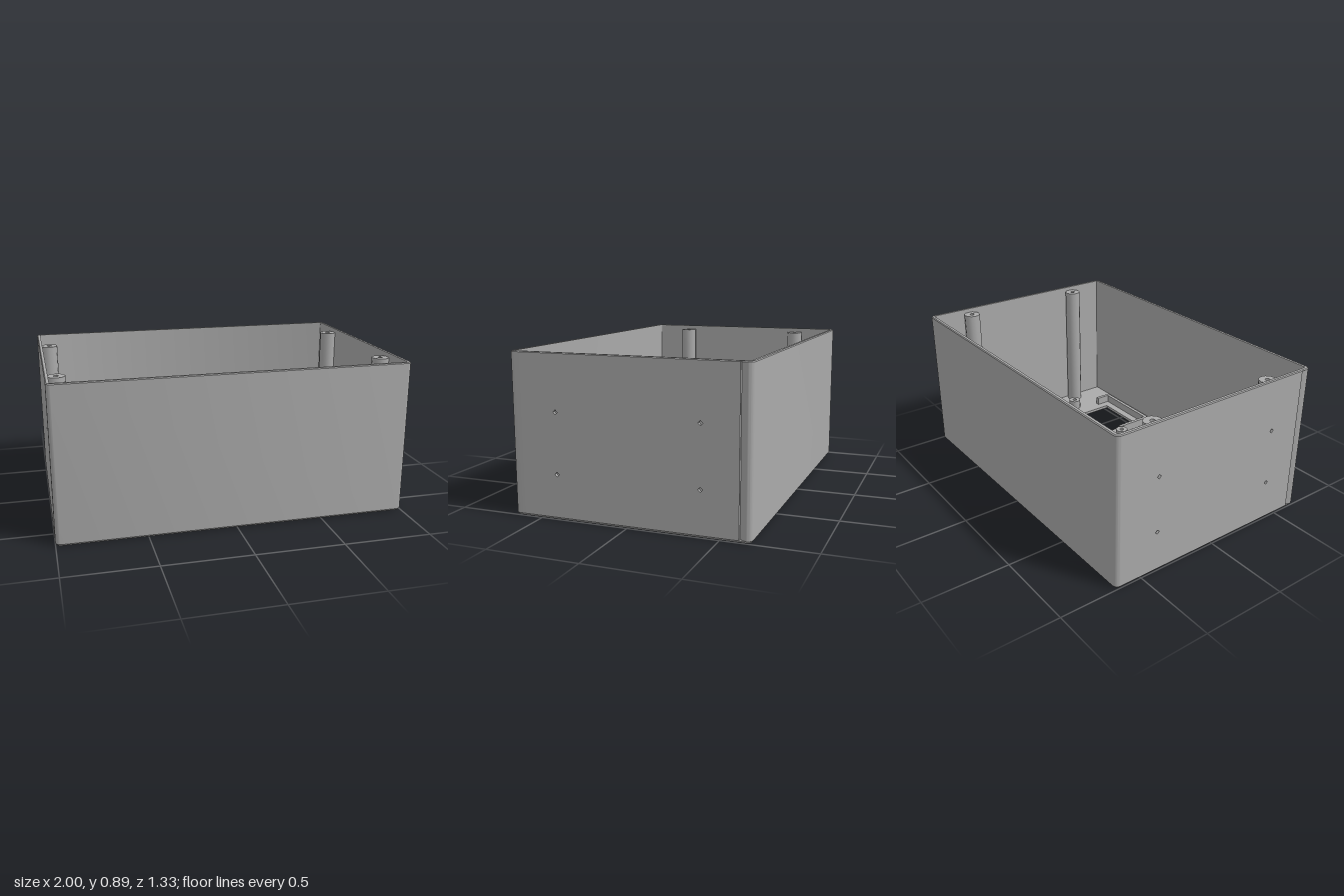
import * as THREE from 'three';
import { toCreasedNormals } from 'three/addons/utils/BufferGeometryUtils.js';

const W = 1, D = 0.665, R = 0.03, T = 0.02;          // half width, half depth, corner radius, wall
const H = 0.89, CHAMFER = 0.012, FLOOR = 0.03, RIM = 0.885;

// Plan shapes are drawn in (x, -z)
function roundedRect(w, d, r) {
  const s = new THREE.Shape();
  s.absarc(w - r, d - r, r, 0, Math.PI / 2);
  s.absarc(-w + r, d - r, r, Math.PI / 2, Math.PI);
  s.absarc(-w + r, -d + r, r, Math.PI, Math.PI * 1.5);
  s.absarc(w - r, -d + r, r, Math.PI * 1.5, Math.PI * 2);
  s.closePath();
  return s;
}
const polygon = (pts) => new THREE.Shape(pts.map(([x, z]) => new THREE.Vector2(x, -z)));
const rect = (x0, x1, z0, z1) => polygon([[x0, z0], [x0, z1], [x1, z1], [x1, z0]]);
const circle = (x, z, r) => new THREE.Shape().absarc(x, -z, r, 0, Math.PI * 2);

// Upright extrusion of a plan shape, with an optional rule that moves its vertices
function slab(shape, y0, y1, rule) {
  const g = new THREE.ExtrudeGeometry(shape, { depth: y1 - y0, bevelEnabled: false, curveSegments: 6 });
  g.rotateX(-Math.PI / 2).translate(0, y0, 0);
  if (rule) {
    const p = g.attributes.position, v = new THREE.Vector3();
    for (let i = 0; i < p.count; i++) {
      rule(v.fromBufferAttribute(p, i));
      p.setXYZ(i, v.x, v.y, v.z);
    }
  }
  return toCreasedNormals(g, 0.6);
}

// Pulls the outer outline inwards at one height, to chamfer the edge
function insetOutline(v, y, amount) {
  if (Math.abs(v.y - y) > 1e-4) return;
  const dx = Math.max(Math.abs(v.x) - (W - R), 0), dz = Math.max(Math.abs(v.z) - (D - R), 0);
  const d = Math.hypot(dx, dz);
  if (d < R - 0.002) return;
  v.x -= Math.sign(v.x) * dx / d * amount;
  v.z -= Math.sign(v.z) * dz / d * amount;
}

export function createModel() {
  const model = new THREE.Group();
  model.name = 'enclosure';
  const grey = new THREE.MeshStandardMaterial({ color: 0xaaaaaa });
  grey.name = 'grey plastic';
  const add = (name, geometry) => {
    const mesh = new THREE.Mesh(geometry, grey);
    mesh.name = name;
    model.add(mesh);
    return mesh;
  };

  // Floor openings: vent grid with its corners left out, and display window
  const openings = () => {
    const list = [rect(0.34, 0.67, 0.105, 0.51)];
    for (let row = 0; row < 14; row++) {
      for (let col = 0; col < 14; col++) {
        if ((row < 2 || row > 11) && (col < 2 || col > 11)) continue;
        list.push(circle(-0.787 + col * 0.0555, -0.365 + row * 0.0555, 0.018));
      }
    }
    return list;
  };

  // Lower floor layer: chamfered outline and window, round button hole
  const lower = roundedRect(W, D, R);
  lower.holes = [...openings(), circle(0.51, -0.283, 0.043)];
  add('floorBottom', slab(lower, 0, CHAMFER, (v) => {
    insetOutline(v, 0, 0.01);
    if (v.y < 1e-4 && v.x > 0.3 && v.x < 0.7 && v.z > 0.08 && v.z < 0.54) {
      v.x += Math.sign(v.x - 0.505) * 0.015;
      v.z += Math.sign(v.z - 0.3) * 0.015;
    }
  }));

  // Upper floor layer: square recess around the button hole
  const upper = roundedRect(W - T, D - T, R - T);
  upper.holes = [...openings(), rect(0.43, 0.59, -0.363, -0.2)];
  add('floorTop', slab(upper, CHAMFER, FLOOR));

  // Front and back walls with the rounded corners
  const e = 0.6, c = W - R, f = D - R, q = Math.PI / 2;
  const u = new THREE.Shape();
  u.moveTo(W, e);
  u.absarc(c, f, R, 0, q);
  u.absarc(-c, f, R, q, 2 * q);
  u.lineTo(-W, e);
  u.lineTo(-W + T, e);
  u.absarc(-c, f, R - T, 2 * q, q, true);
  u.absarc(c, f, R - T, q, 0, true);
  u.lineTo(W - T, e);
  u.closePath();
  const wall = slab(u, CHAMFER, RIM);
  add('backWall', wall);
  add('frontWall', wall).rotation.y = Math.PI;

  // End walls with four small diamond screw holes each
  const end = new THREE.Shape([[-e, CHAMFER], [e, CHAMFER], [e, RIM], [-e, RIM]].map(([a, b]) => new THREE.Vector2(a, b)));
  for (const z of [-0.4, 0.4]) {
    for (const y of [0.247, 0.58]) {
      const r = 0.013;
      end.holes.push(new THREE.Path([[r, 0], [0, -r], [-r, 0], [0, r]].map(([a, b]) => new THREE.Vector2(z + a, y + b))));
    }
  }
  const endWall = new THREE.ExtrudeGeometry(end, { depth: T, bevelEnabled: false }).rotateY(Math.PI / 2);
  add('leftWall', endWall).position.x = W - T;
  add('rightWall', endWall).position.x = -W;

  // Rim with a softened outer edge
  const rim = roundedRect(W, D, R);
  rim.holes = [roundedRect(W - T, D - T, R - T)];
  add('rim', slab(rim, RIM, H, (v) => insetOutline(v, H, 0.005)));

  // Hollow screw posts
  const post = (name, x, z, r, top) => {
    const s = circle(x, z, r);
    s.holes = [circle(x, z, 0.014)];
    add(name, slab(s, FLOOR, top));
  };
  for (const z of [-0.4, 0.4]) {
    for (const x of [-0.935, 0.935]) post('lidPost', x, z, 0.05, 0.865);
  }
  for (const z of [-0.332, 0.325]) {
    for (const x of [-0.755, -0.095]) post('ventPost', x, z, 0.04, 0.09);
  }
  for (const x of [0.223, 0.795]) post('displayPost', x, 0.307, 0.04, 0.09);

  // Frame around the vent
  const frame = rect(-0.85, 0, -0.43, 0.42);
  frame.holes = [rect(-0.832, -0.018, -0.412, 0.402)];
  add('ventFrame', slab(frame, FLOOR, 0.08));

  // Brackets around the display window
  const bracket = (z, inner, leftEnd, rightEnd) => polygon([
    [0.27, z], [0.745, z], [0.745, rightEnd], [0.723, rightEnd],
    [0.723, inner], [0.292, inner], [0.292, leftEnd], [0.27, leftEnd]]);
  add('displayBracketBack', slab(bracket(0.03, 0.052, 0.107, 0.14), FLOOR, 0.08));
  add('displayBracketFront', slab(bracket(0.58, 0.558, 0.335, 0.47), FLOOR, 0.08));

  // Ribs beside the button
  for (const x of [0.34, 0.655]) add('buttonRib', slab(rect(x, x + 0.024, -0.37, -0.2), FLOOR, 0.09));

  return model;
}
